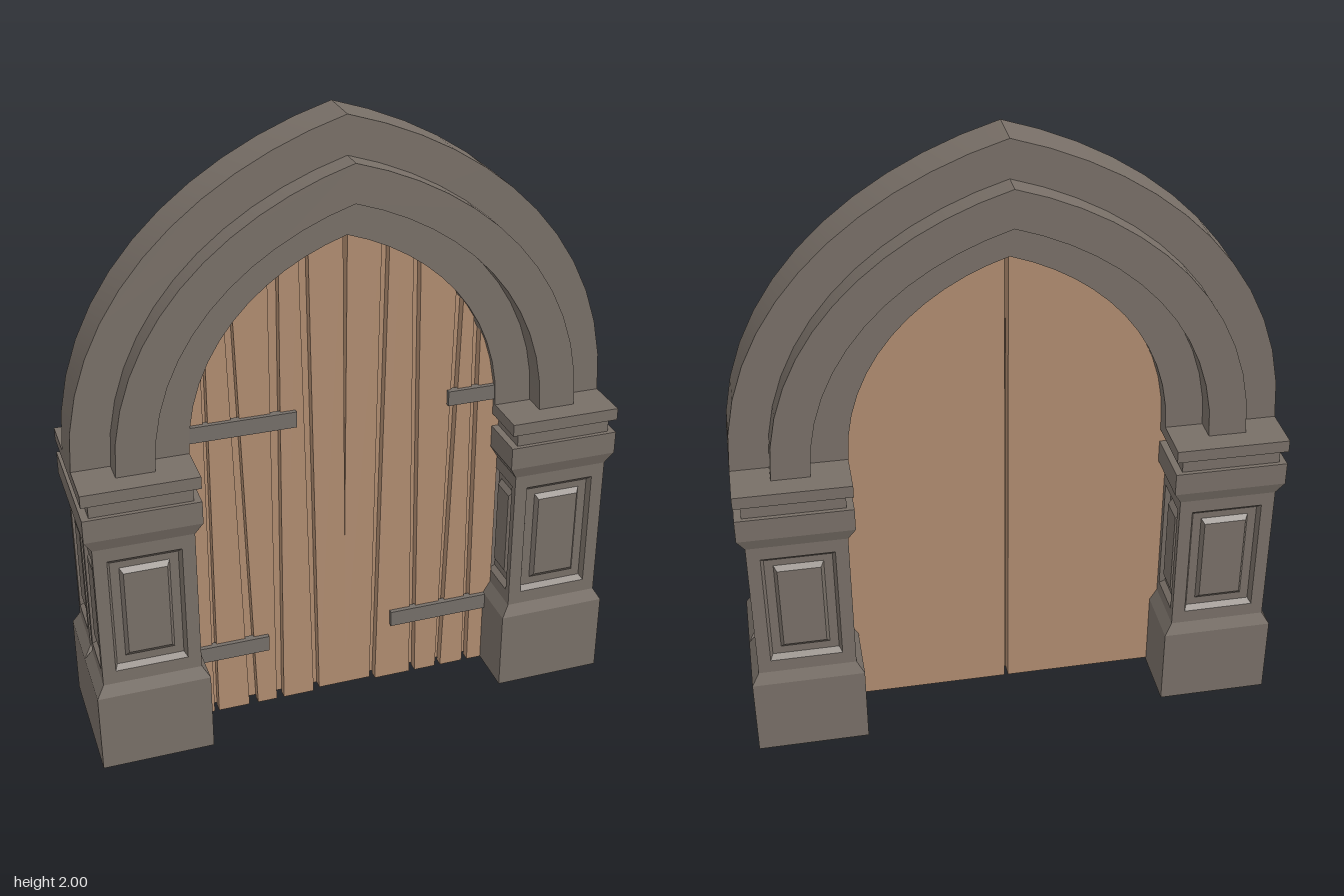
import * as THREE from 'three';
import { mergeGeometries, toCreasedNormals } from 'three/addons/utils/BufferGeometryUtils.js';

const stone = new THREE.MeshStandardMaterial({ color: 0x786f67 });
stone.name = 'stone';
const wood = new THREE.MeshStandardMaterial({ color: 0xb08c70 });
wood.name = 'wood';
const iron = new THREE.MeshStandardMaterial({ color: 0x746e68 });
iron.name = 'iron';

const SPRING = 1;            // height where the arch starts
const HX = 0.18, HZ = 0.11;  // half size of one pier
const SHAFT = 0.867;         // shaft size relative to the pier base

function add(parent, geometry, material, name) {
  const mesh = new THREE.Mesh(geometry, material);
  mesh.name = name;
  parent.add(mesh);
  return mesh;
}

// Right half of a pointed arch, from the springing to the apex
function archHalf(a, h, n = 12) {
  return new THREE.CubicBezierCurve(
    new THREE.Vector2(a, SPRING),
    new THREE.Vector2(a, SPRING + 0.52 * h),
    new THREE.Vector2(0.54 * a, SPRING + 0.87 * h),
    new THREE.Vector2(0, SPRING + h)
  ).getPoints(n);
}

function archLine(a, h) {
  const right = archHalf(a, h);
  const left = right.slice(0, -1).reverse().map(p => new THREE.Vector2(-p.x, p.y));
  return right.concat(left);
}

function slab(points, z0, z1) {
  return new THREE.ExtrudeGeometry(new THREE.Shape(points), { depth: z1 - z0, bevelEnabled: false })
    .translate(0, 0, z0);
}

// One stone band of the arch; offset is measured out from the opening
function archBand(offset, width, halfDepth) {
  const outer = archLine(0.5 + offset + width, 0.64 + offset + width);
  const inner = archLine(0.5 + offset, 0.64 + offset).reverse();
  return toCreasedNormals(slab(outer.concat(inner), -halfDepth, halfDepth), 0.4);
}

// Rectangular block that may taper between two relative sizes
function block(s0, s1, y0, y1) {
  const g = new THREE.CylinderGeometry(s1 * Math.SQRT2, s0 * Math.SQRT2, y1 - y0, 4)
    .rotateY(Math.PI / 4).scale(HX, 1, HZ).translate(0, (y0 + y1) / 2, 0).toNonIndexed();
  g.computeVertexNormals();
  g.deleteAttribute('uv');
  return g;
}

// Shaft face with a sunk frame and a raised centre, made of nested rectangles
function panelFace(halfWidth, distance) {
  const rings = [
    [SHAFT, 0.31, 0.80, 0], [0.635, 0.355, 0.755, 0], [0.585, 0.368, 0.738, -0.018],
    [0.43, 0.395, 0.715, -0.018], [0.375, 0.412, 0.70, -0.004]
  ].map(([w, lo, hi, d]) => {
    const u = w * halfWidth, z = distance + d;
    return [[-u, lo, z], [u, lo, z], [u, hi, z], [-u, hi, z]];
  });
  const pos = [];
  const quad = (a, b, c, d) => pos.push(...a, ...b, ...c, ...a, ...c, ...d);
  for (let i = 0; i < rings.length - 1; i++) {
    for (let k = 0; k < 4; k++) {
      const n = (k + 1) % 4;
      quad(rings[i][k], rings[i][n], rings[i + 1][n], rings[i + 1][k]);
    }
  }
  quad(...rings[rings.length - 1]);
  const g = new THREE.BufferGeometry();
  g.setAttribute('position', new THREE.Float32BufferAttribute(pos, 3));
  g.computeVertexNormals();
  return g;
}

function pierParts() {
  const faces = [0, 1, 2, 3].map(k =>
    (k % 2 ? panelFace(HZ, HX * SHAFT) : panelFace(HX, HZ * SHAFT)).rotateY(k * Math.PI / 2));
  return {
    pierBase: mergeGeometries([block(1, 1, 0, 0.27), block(1, SHAFT, 0.27, 0.31)]),
    panelledShaft: mergeGeometries(faces),
    pierCapital: mergeGeometries([
      block(SHAFT, 1, 0.80, 0.84), block(1, 1, 0.84, 0.915),
      block(0.875, 0.875, 0.915, 0.96), block(1, 1, 0.96, 1.0)
    ])
  };
}

export function createModel() {
  const model = new THREE.Group();
  model.name = 'archedGate';

  // Stepped stone arch
  const arch = new THREE.Group();
  arch.name = 'arch';
  model.add(arch);
  add(arch, archBand(0.24, 0.12, 0.073), stone, 'outerBand');
  add(arch, archBand(0.12, 0.12, 0.147), stone, 'middleBand');
  add(arch, archBand(0, 0.12, 0.073), stone, 'innerBand');

  // Two piers back to back on each side, a narrow gap between their shafts
  const parts = pierParts();
  for (const sx of [-1, 1]) {
    for (const sz of [-1, 1]) {
      const pier = new THREE.Group();
      pier.name = (sx > 0 ? 'left' : 'right') + (sz > 0 ? 'Front' : 'Back') + 'Pier';
      pier.position.set(sx * 0.68, 0, sz * HZ);
      for (const [name, g] of Object.entries(parts)) add(pier, g, stone, name);
      model.add(pier);
    }
  }

  // Flat backing of each door leaf; its rim is housed in the stone
  for (const s of [-1, 1]) {
    const pts = [[0.006, 0.01], [0.53, 0.01]].map(p => new THREE.Vector2(...p))
      .concat(archHalf(0.53, 0.68).slice(0, -1), [new THREE.Vector2(0.006, 1.678)])
      .map(p => new THREE.Vector2(s * p.x, p.y));
    add(model, slab(pts, -0.02, 0.025), wood, s > 0 ? 'leftDoorBacking' : 'rightDoorBacking');
  }

  // Uneven planks: bottom left, bottom right, top left, top right
  const rim = archHalf(0.54, 0.69, 24);
  const topAt = x => {
    const ax = Math.abs(x);
    const i = Math.max(1, rim.findIndex(p => p.x <= ax));
    const p = rim[i - 1], q = rim[i];
    return p.y + (q.y - p.y) * (p.x - ax) / Math.max(1e-6, p.x - q.x);
  };
  const planks = [
    [-0.525, -0.455, -0.525, -0.45], [-0.44, -0.335, -0.435, -0.375], [-0.305, -0.24, -0.35, -0.24],
    [-0.215, -0.11, -0.205, -0.145], [-0.09, 0.0036, -0.115, -0.007],
    [-0.0036, 0.09, 0.007, 0.115], [0.11, 0.235, 0.14, 0.215], [0.255, 0.33, 0.24, 0.36],
    [0.35, 0.43, 0.385, 0.42], [0.45, 0.525, 0.445, 0.525]
  ];
  planks.forEach(([bl, br, tl, tr], i) => {
    const bottom = i === 4 || i === 5 ? 0.01 : 0;
    const pts = [new THREE.Vector2(bl, bottom), new THREE.Vector2(br, bottom)];
    for (let k = 0; k <= 4; k++) {
      const x = tr + (tl - tr) * k / 4;
      pts.push(new THREE.Vector2(x, topAt(x)));
    }
    add(model, slab(pts, 0.025, 0.055), wood, 'plank' + (i + 1));
  });

  // Iron hinge straps: x range, y range
  [
    [-0.51, -0.16, 1.03, 1.083], [0.34, 0.51, 1.02, 1.07],
    [-0.51, -0.265, 0.215, 0.27], [0.16, 0.51, 0.215, 0.27]
  ].forEach(([x0, x1, y0, y1], i) => {
    add(model, new THREE.BoxGeometry(x1 - x0, y1 - y0, 0.025), iron, 'hingeStrap' + (i + 1))
      .position.set((x0 + x1) / 2, (y0 + y1) / 2, 0.057);
  });

  return model;
}
